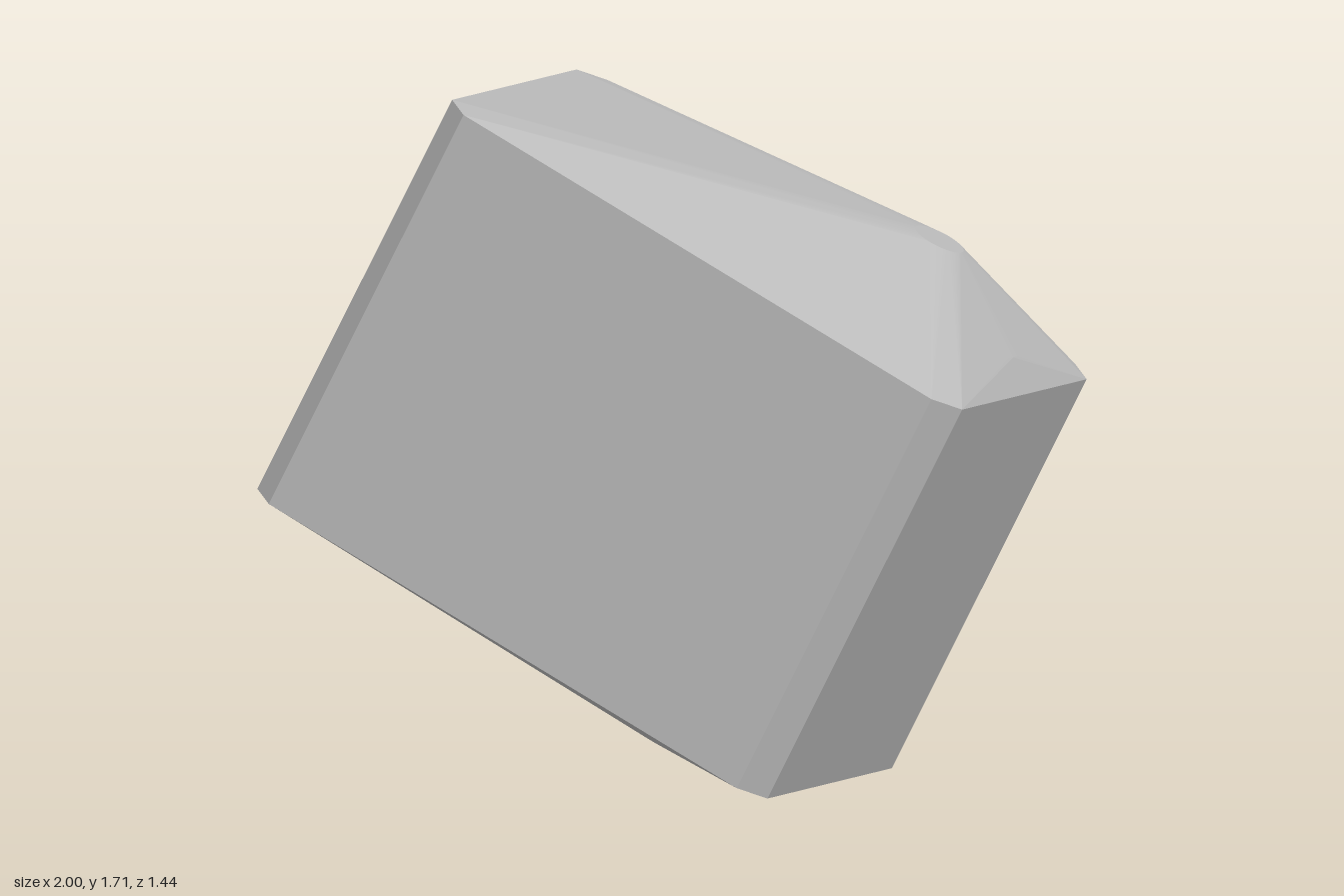
import * as THREE from 'three';
import { ConvexGeometry } from 'three/addons/geometries/ConvexGeometry.js';

// Ring of points around the off-centre cap axis
function ring(radius, x, y, count = 64) {
  return Array.from({ length: count }, (_, i) => {
    const a = (i / count) * Math.PI * 2;
    return new THREE.Vector3(x + radius * Math.cos(a), y, radius * Math.sin(a));
  });
}

// Chamfered rectangle at a given height
function chamferedRectangle(halfLength, halfWidth, chamfer, y) {
  const points = [];
  for (const sx of [-1, 1]) {
    for (const sz of [-1, 1]) {
      points.push(
        new THREE.Vector3(sx * (halfLength - chamfer), y, sz * halfWidth),
        new THREE.Vector3(sx * halfLength, y, sz * (halfWidth - chamfer))
      );
    }
  }
  return points;
}

export function createModel() {
  const grey = new THREE.MeshStandardMaterial({ color: 0xb8b8b8 });
  grey.name = 'grey';

  const halfHeight = 0.543;
  const axisX = 0.383;

  // Chamfered block tapering to a small disc above and a wide disc below
  const block = new THREE.Mesh(
    new ConvexGeometry([
      ...chamferedRectangle(0.75, 0.459, 0.062, halfHeight),
      ...chamferedRectangle(0.75, 0.459, 0.062, -halfHeight),
      ...ring(0.3, axisX, halfHeight + 0.065),
      ...ring(0.065, axisX, halfHeight + 0.222),
      ...ring(0.3, axisX, -halfHeight - 0.055),
    ]),
    grey
  );
  block.name = 'chamferedBlock';

  // Turn about its own axis, then lean towards +x
  block.rotation.set(0, -0.467, -0.447, 'ZYX');
  block.position.set(0, 0.857, 0);

  const model = new THREE.Group();
  model.name = 'tiltedBlock';
  model.add(block);
  return model;
}
